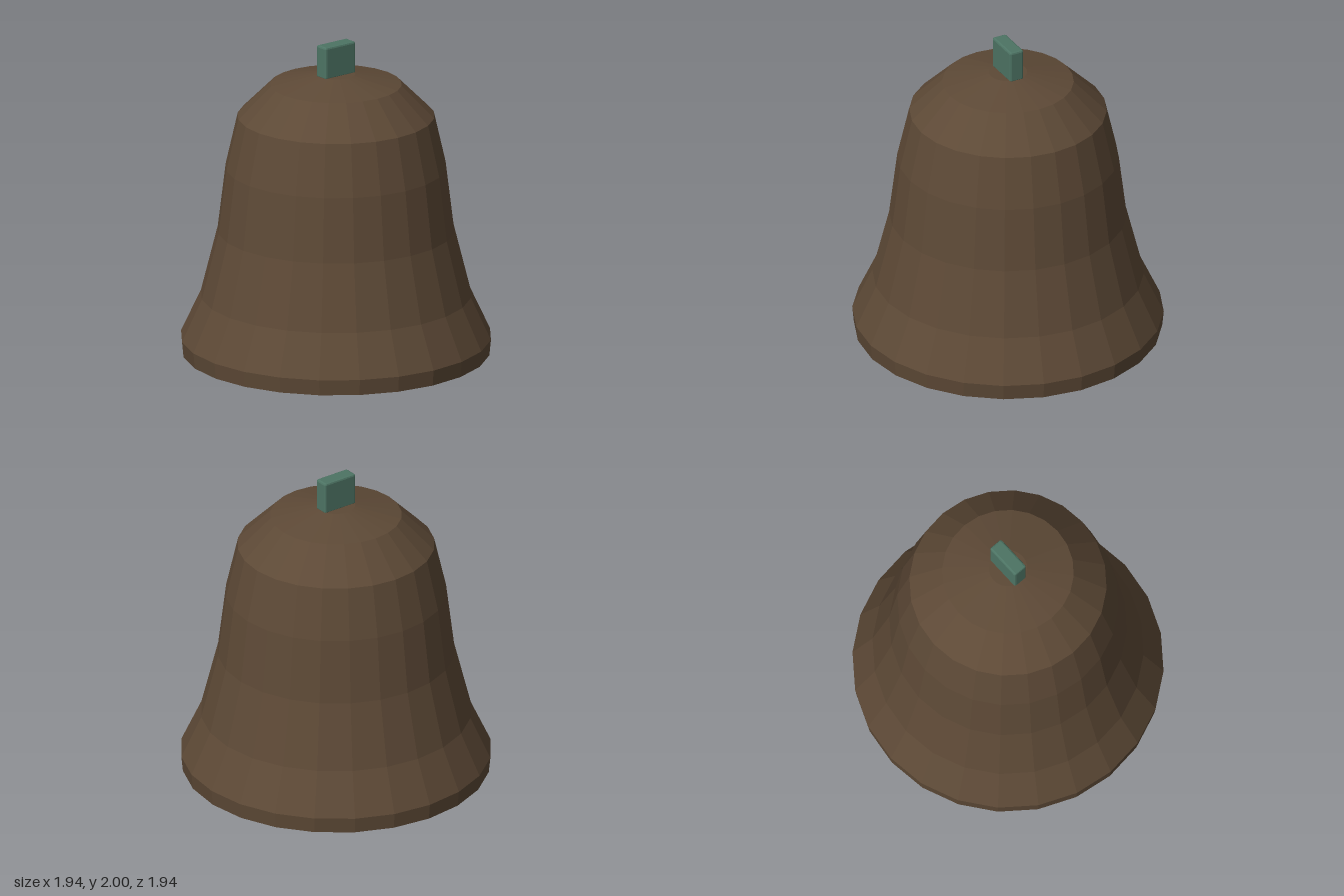
import * as THREE from 'three';
import { RoundedBoxGeometry } from 'three/addons/geometries/RoundedBoxGeometry.js';

const material = (name, color) => {
  const m = new THREE.MeshStandardMaterial({ color, flatShading: true });
  m.name = name;
  return m;
};

// Turned part from [radius, height] pairs
const lathe = (profile, sides) =>
  new THREE.LatheGeometry(profile.map(([r, y]) => new THREE.Vector2(r, y)), sides);

export function createModel() {
  const bronze = material('bronze', 0x5d4936);
  const green = material('patina green', 0x4d7464);
  const bell = new THREE.Group();
  bell.name = 'bell';

  const add = (name, geometry, mat) => {
    const mesh = new THREE.Mesh(geometry, mat);
    mesh.name = name;
    bell.add(mesh);
    return mesh;
  };

  // Hollow shell: down the inner wall, across the rim, up the outside
  add('shell', lathe([
    [0, 1.7], [0.36, 1.65], [0.53, 1.48], [0.6, 1.18], [0.65, 0.78],
    [0.75, 0.36], [0.85, 0.1], [0.85, 0],
    [0.96, 0], [0.97, 0.1], [0.845, 0.37], [0.74, 0.79], [0.69, 1.2],
    [0.615, 1.53], [0.41, 1.735], [0.12, 1.8], [0, 1.8],
  ], 24), bronze);

  // Clapper hanging inside, with a tapered tip
  add('clapper', lathe([
    [0, 0.32], [0.05, 0.32], [0.14, 0.42], [0.14, 0.47],
    [0.05, 0.6], [0.035, 1.7],
  ], 12), bronze);

  // Hanging lug with narrow bevels
  add('lug', new RoundedBoxGeometry(0.24, 0.21, 0.095, 1, 0.012), green)
    .position.y = 1.895;

  return bell;
}
